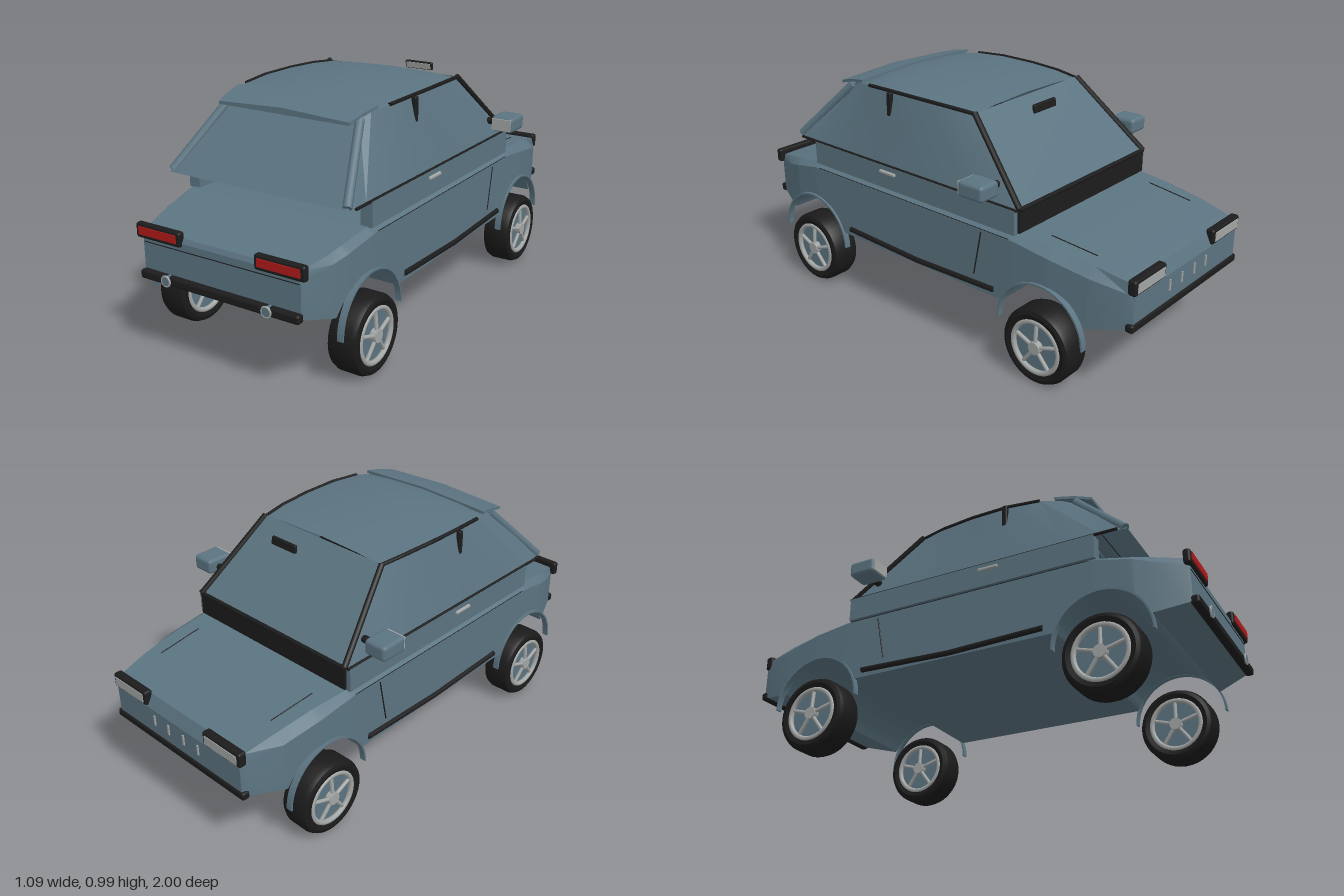
import * as THREE from 'three';
import { toCreasedNormals } from 'three/addons/utils/BufferGeometryUtils.js';
import { RoundedBoxGeometry } from 'three/addons/geometries/RoundedBoxGeometry.js';

const material = (name, color) => {
  const m = new THREE.MeshStandardMaterial({ color, side: THREE.DoubleSide });
  m.name = name;
  return m;
};

// Skin a list of cross-sections, ordered from -z to +z, counterclockwise seen from +z
function loft(rings, closed = false) {
  const n = rings[0].length, idx = [];
  for (let i = 0; i < rings.length - 1; i++) {
    for (let j = 0; j < (closed ? n : n - 1); j++) {
      const k = (j + 1) % n, a = i * n + j, b = i * n + k;
      idx.push(a, b, b + n, a, b + n, a + n);
    }
  }
  if (closed) {
    const e = (rings.length - 1) * n;
    for (let j = 1; j < n - 1; j++) idx.push(0, j + 1, j, e, e + j, e + j + 1);
  }
  const g = new THREE.BufferGeometry();
  g.setAttribute('position', new THREE.Float32BufferAttribute(rings.flat(2), 3));
  g.setIndex(idx);
  return toCreasedNormals(g, 0.35);
}

// Piecewise linear lookup in rows whose first entry is z
function sample(rows, z) {
  let i = 0;
  while (i < rows.length - 2 && z > rows[i + 1][0]) i++;
  const a = rows[i], b = rows[i + 1], t = (z - a[0]) / (b[0] - a[0]);
  return a.map((v, k) => v + (b[k] - v) * t);
}

export function createModel() {
  const car = new THREE.Group();
  car.name = 'car';
  const paint = material('blue grey paint', 0x5b7481);
  const black = material('black trim', 0x1c1c1c);
  const rubber = material('tyre rubber', 0x1a1a1a);
  const silver = material('silver', 0xa2a6a4);
  const red = material('red lens', 0xb01a1a);

  const add = (name, geo, mat, x = 0, y = 0, z = 0, parent = car) => {
    const m = new THREE.Mesh(geo, mat);
    m.name = name;
    m.position.set(x, y, z);
    parent.add(m);
    return m;
  };
  const box = (name, mat, w, h, d, x, y, z, r = 0) =>
    add(name, r ? new RoundedBoxGeometry(w, h, d, 2, r) : new THREE.BoxGeometry(w, h, d), mat, x, y, z);
  const rod = (name, mat, p, q, r, parent = car) => {
    const a = new THREE.Vector3(...p), b = new THREE.Vector3(...q), d = b.clone().sub(a);
    const m = add(name, new THREE.CylinderGeometry(r, r, d.length(), 8), mat, 0, 0, 0, parent);
    m.position.copy(a).add(b).multiplyScalar(0.5);
    m.quaternion.setFromUnitVectors(new THREE.Vector3(0, 1, 0), d.normalize());
    return m;
  };

  // Lower body: z, side half width, top half width, top y, shoulder y, bottom y
  const stations = [
    [-0.99, 0.365, 0.365, 0.46, 0.44, 0.35], [-0.965, 0.375, 0.365, 0.51, 0.47, 0.325],
    [-0.83, 0.42, 0.385, 0.538, 0.5, 0.295], [-0.66, 0.442, 0.4, 0.56, 0.53, 0.285],
    [-0.5, 0.445, 0.415, 0.57, 0.55, 0.285], [0.625, 0.445, 0.415, 0.57, 0.55, 0.285],
    [0.77, 0.432, 0.4, 0.545, 0.52, 0.285], [0.84, 0.412, 0.39, 0.53, 0.5, 0.295],
    [0.955, 0.37, 0.362, 0.508, 0.48, 0.325], [0.965, 0.365, 0.355, 0.49, 0.46, 0.335],
  ];
  const axles = [-0.635, 0.645], archR = 0.197, archY = 0.215;
  const cuts = stations.map(s => s[0]);
  for (const c of axles) {
    for (let i = 0; i <= 16; i++) cuts.push(c - 0.186 * Math.cos((Math.PI * i) / 16));
  }
  cuts.sort((a, b) => a - b);
  const bodyRings = cuts.map(z => {
    const [, w, wt, yt, ys, base] = sample(stations, z);
    let yb = base;
    for (const c of axles) {
      const h = archR ** 2 - (z - c) ** 2;
      if (h > 0) yb = Math.max(yb, archY + Math.sqrt(h));
    }
    return [[-w, yb, z], [w, yb, z], [w, ys, z], [wt, yt, z], [-wt, yt, z], [-w, ys, z]];
  });
  add('lowerBody', loft(bodyRings, true), paint);

  // Roof and side glass: base z, roof z, roof half width, edge y, centre y
  const cols = [
    [-0.505, -0.21, 0.322, 0.95, 0.965], [-0.3, -0.1, 0.34, 0.958, 0.98], [0, 0.05, 0.352, 0.962, 0.986],
    [0.25, 0.22, 0.354, 0.962, 0.988], [0.5, 0.36, 0.342, 0.955, 0.978], [0.65, 0.45, 0.318, 0.942, 0.962],
    [0.755, 0.5, 0.3, 0.922, 0.935],
  ];
  const baseX = zb => 0.425 - (zb < -0.5 || zb > 0.7 ? 0.012 : 0);
  add('roof', loft(cols.map(([, z, w, ye, yc]) =>
    [1, 0.6, 0, -0.6, -1].map(t => [w * t, yc - (yc - ye) * t * t, z]))), paint);
  for (const s of [1, -1]) {
    add('sideWindow', loft(cols.map(([zb, zt, w, ye]) => {
      const strip = [[s * baseX(zb), 0.668, zb], [s * w, ye, zt]];
      return s > 0 ? strip : strip.reverse();
    })), paint);
  }
  const panel = (name, a, b) => add(name, loft([[[-a[0], a[1], a[2]], [a[0], a[1], a[2]]],
    [[-b[0], b[1], b[2]], [b[0], b[1], b[2]]]]), paint);
  panel('windscreen', [0.322, 0.955, -0.21], [0.413, 0.668, -0.505]);
  panel('rearWindow', [0.413, 0.668, 0.755], [0.3, 0.925, 0.5]);

  // Thin spoiler over the rear window
  add('rearSpoiler', loft([[0.42, 0.33, 0.963], [0.5, 0.318, 0.95], [0.575, 0.305, 0.928]].map(([z, w, y]) =>
    [[-w, y - 0.012, z], [0, y, z], [w, y - 0.012, z], [w, y, z], [0, y + 0.014, z], [-w, y, z]]), true), paint);
  box('rearWindowSeal', black, 0.56, 0.008, 0.01, 0, 0.915, 0.515);

  // Interior and windscreen base
  box('cowl', black, 0.83, 0.095, 0.025, 0, 0.62, -0.497);
  rod('windscreenSeal', black, [-0.412, 0.668, -0.508], [0.412, 0.668, -0.508], 0.009);
  box('dashboard', paint, 0.76, 0.07, 0.1, 0, 0.63, -0.42);
  box('console', black, 0.13, 0.05, 0.3, 0, 0.595, -0.1);
  rod('gearLever', silver, [0, 0.6, 0.08], [0, 0.625, 0.08], 0.008);
  add('gearKnob', new THREE.SphereGeometry(0.016, 12, 8), black, 0, 0.628, 0.08);
  const inner = box('innerMirror', black, 0.135, 0.035, 0.016, 0.068, 0.952, -0.345, 0.006);
  const glass = add('innerMirrorGlass', new THREE.BoxGeometry(0.12, 0.025, 0.004), silver, 0, 0, 0.009, inner);
  glass.parent.rotation.x = 0.15;

  // Paired parts
  for (const s of [1, -1]) {
    box('seat', black, 0.26, 0.2, 0.1, s * 0.2, 0.66, 0.15, 0.02);
    box('beltPanel', paint, 0.05, 0.1, 1.125, s * 0.41, 0.618, 0.0625);
    rod('beltTrim', black, [s * 0.428, 0.668, -0.505], [s * 0.428, 0.668, 0.72], 0.006);
    rod('frontPillar', black, [s * 0.412, 0.67, -0.507], [s * 0.325, 0.955, -0.21], 0.012);
    rod('rearPillar', paint, [s * 0.408, 0.675, 0.745], [s * 0.305, 0.925, 0.505], 0.018);
    for (let i = 0; i < 4; i++) {
      const p = cols[i], q = cols[i + 1];
      rod('roofRail', black, [s * p[2], p[3], p[1]], [s * q[2], q[3], q[1]], 0.008);
    }
    box('middlePillar', black, 0.022, 0.14, 0.024, s * 0.367, 0.89, 0.213, 0.006);
    box('doorHandle', silver, 0.014, 0.014, 0.09, s * 0.438, 0.641, 0.17, 0.005);
    rod('doorSeam', black, [s * 0.445, 0.54, -0.345], [s * 0.445, 0.35, -0.308], 0.003);
    rod('shoulderSeam', black, [s * 0.444, 0.552, -0.48], [s * 0.444, 0.552, 0.6], 0.0015);
    for (const e of [1, -1]) {
      rod('sideSkirt', black, [s * 0.445, 0.303, 0], [s * 0.445, 0.316, e * 0.41], 0.012);
    }
    rod('hoodSeam', black, [s * 0.335, 0.567, -0.6], [s * 0.325, 0.546, -0.8], 0.002);

    // Door mirrors
    rod('mirrorArm', black, [s * 0.395, 0.735, -0.385], [s * 0.45, 0.735, -0.385], 0.015);
    box('mirrorShell', paint, 0.102, 0.066, 0.12, s * 0.492, 0.743, -0.375, 0.016);
    box('mirrorGlass', silver, 0.085, 0.05, 0.008, s * 0.492, 0.743, -0.314);

    // Lights and exhausts
    box('tailLightFrame', black, 0.22, 0.06, 0.03, s * 0.281, 0.505, 0.962, 0.01);
    box('tailLight', red, 0.185, 0.032, 0.008, s * 0.281, 0.507, 0.977);
    box('headlightFrame', black, 0.205, 0.062, 0.036, s * 0.272, 0.495, -0.979, 0.01);
    box('headlight', silver, 0.175, 0.038, 0.008, s * 0.272, 0.495, -0.996);
    add('exhaustRing', new THREE.TorusGeometry(0.02, 0.004, 8, 20), silver, s * 0.235, 0.337, 0.995);
    add('exhaustPipe', new THREE.CylinderGeometry(0.018, 0.018, 0.03, 16), paint, s * 0.235, 0.337, 0.983).rotation.x = Math.PI / 2;
    for (const x of [0.045, 0.13]) box('grilleSlat', silver, 0.008, 0.045, 0.008, s * x, 0.415, -0.991);
  }
  box('rearBumper', black, 0.74, 0.036, 0.035, 0, 0.335, 0.973, 0.01);
  box('frontBumper', black, 0.76, 0.034, 0.035, 0, 0.335, -0.98, 0.01);
  box('bootSeam', black, 0.72, 0.003, 0.004, 0, 0.461, 0.965);

  // Wheels, with the axle along the group's x
  const half = [[0.105, 0.045], [0.115, 0.058], [0.135, 0.064], [0.15, 0.058], [0.158, 0.04]];
  const profile = [...half.map(([r, y]) => [r, -y]), ...half.slice().reverse()].map(p => new THREE.Vector2(...p));
  const tyreGeo = toCreasedNormals(new THREE.LatheGeometry(profile, 40), 0.6);
  const lip = new THREE.Shape();
  lip.absarc(0, 0, archR + 0.005, 0, Math.PI, false);
  lip.absarc(0, 0, archR - 0.002, Math.PI, 0, true);
  const lipGeo = new THREE.ExtrudeGeometry(lip, { depth: 0.026, bevelEnabled: false, curveSegments: 20 });
  for (const z of axles) {
    for (const s of [1, -1]) {
      const arch = add('wheelArchLip', lipGeo, paint, s * 0.442 - 0.013, archY, z);
      arch.rotation.y = Math.PI / 2;
      const wheel = new THREE.Group();
      wheel.name = 'wheel';
      wheel.position.set(s * 0.411, 0.159, z);
      car.add(wheel);
      add('tyre', tyreGeo, rubber, 0, 0, 0, wheel).rotation.z = Math.PI / 2;
      add('wheelDisc', new THREE.CylinderGeometry(0.107, 0.107, 0.084, 32), paint, 0, 0, 0, wheel).rotation.z = Math.PI / 2;
      add('hub', new THREE.CylinderGeometry(0.026, 0.026, 0.136, 16), silver, 0, 0, 0, wheel).rotation.z = Math.PI / 2;
      for (const e of [1, -1]) {
        add('rim', new THREE.TorusGeometry(0.107, 0.011, 8, 36), silver, e * 0.053, 0, 0, wheel).rotation.y = Math.PI / 2;
        for (let i = 0; i < 5; i++) {
          const a = Math.PI / 2 + (i * Math.PI * 2) / 5;
          rod('spoke', silver, [e * 0.058, 0, 0], [e * 0.05, 0.107 * Math.sin(a), 0.107 * Math.cos(a)], 0.008, wheel);
        }
      }
    }
  }
  return car;
}
